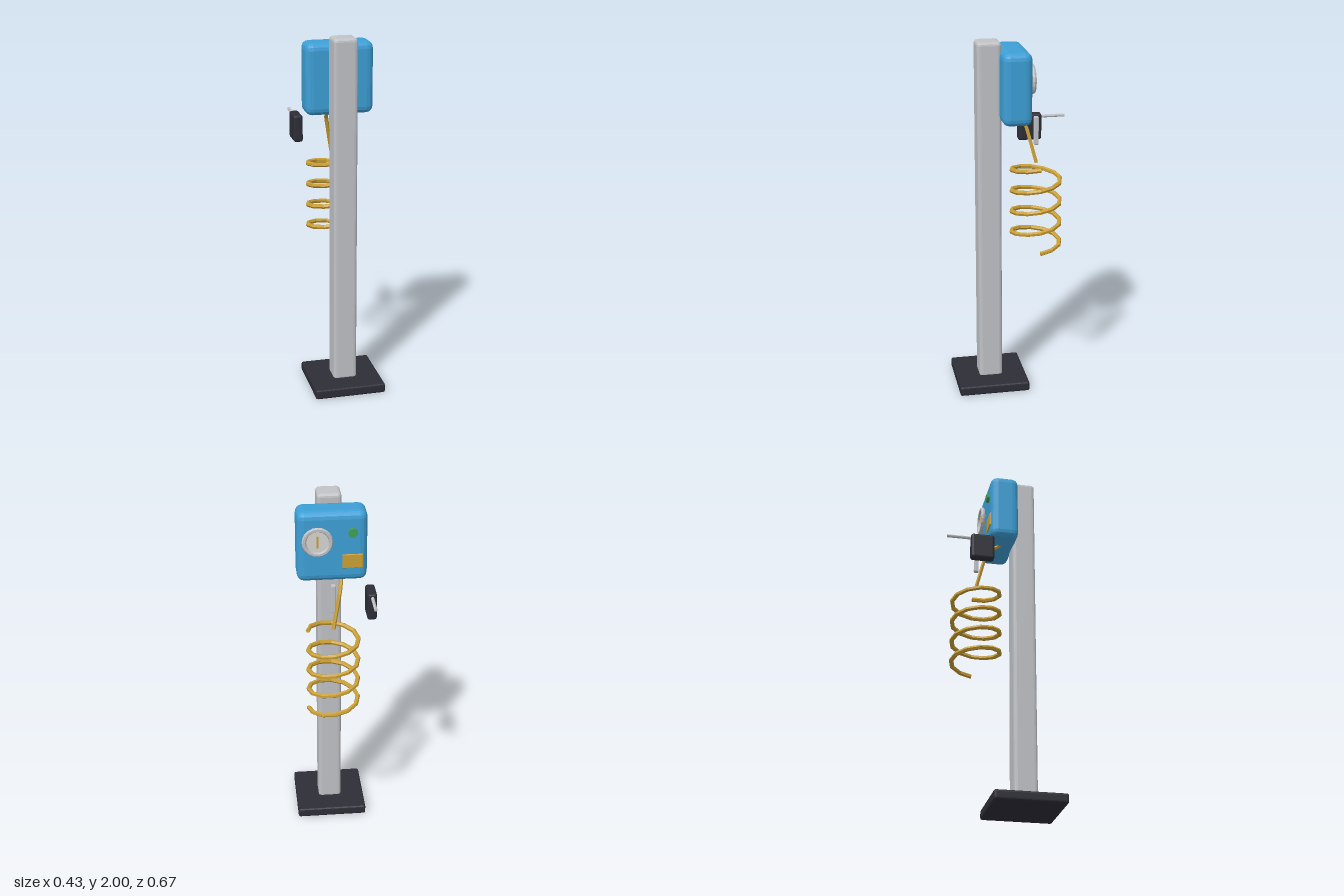
import * as THREE from 'three';
import { RoundedBoxGeometry } from 'three/addons/geometries/RoundedBoxGeometry.js';

const material = (name, color) => {
  const m = new THREE.MeshStandardMaterial({ color });
  m.name = name;
  return m;
};

// Faceted normals for a low-poly look
function faceted(geometry) {
  const g = geometry.index ? geometry.toNonIndexed() : geometry;
  g.computeVertexNormals();
  return g;
}

// Rising spiral around a vertical axis
class Helix extends THREE.Curve {
  constructor(centre, radius, height, turns) {
    super();
    Object.assign(this, { centre, radius, height, turns });
  }
  getPoint(t, target = new THREE.Vector3()) {
    const a = t * this.turns * Math.PI * 2;
    return target.set(Math.cos(a) * this.radius, -t * this.height, Math.sin(a) * this.radius).add(this.centre);
  }
}

export function createModel() {
  const group = new THREE.Group();
  const steel = material('steel', 0xc0c2c6);
  const blue = material('blue paint', 0x3d9fd6);
  const black = material('black rubber', 0x2d2d37);
  const gold = material('amber hose', 0xcba036);
  const green = material('green button', 0x3fa056);
  const dial = material('dial face', 0xd6d5d0);

  const add = (name, geometry, mat, x = 0, y = 0, z = 0) => {
    const mesh = new THREE.Mesh(faceted(geometry), mat);
    mesh.name = name;
    mesh.position.set(x, y, z);
    group.add(mesh);
    return mesh;
  };
  const box = (name, mat, size, centre, bevel) =>
    add(name, new RoundedBoxGeometry(...size, 2, bevel), mat, ...centre);
  // Disc or rod lying along z
  const disc = (name, mat, radius, depth, sides, centre) =>
    add(name, new THREE.CylinderGeometry(radius, radius, depth, sides).rotateX(Math.PI / 2), mat, ...centre);

  // Stand
  box('base', black, [0.4, 0.055, 0.4], [0.0125, 0.0275, 0.133], 0.012);
  box('post', steel, [0.133, 1.96, 0.133], [0.0135, 1.02, 0.134], 0.02);

  // Housing with its controls on the back face
  box('housing', blue, [0.376, 0.396, 0.162], [0.012, 1.76, -0.001], 0.04);
  add('gaugeRim', new THREE.TorusGeometry(0.071, 0.012, 6, 20), steel, 0.092, 1.8, -0.094);
  disc('gaugeFace', dial, 0.07, 0.014, 20, [0.092, 1.8, -0.086]);
  add('gaugeNeedle', new THREE.BoxGeometry(0.01, 0.065, 0.005), gold, 0.092, 1.8, -0.095);
  disc('button', green, 0.025, 0.03, 10, [-0.095, 1.845, -0.085]);
  box('panel', gold, [0.11, 0.08, 0.012], [-0.095, 1.68, -0.082], 0.004);

  // Feed hose and loose coil
  const feed = new THREE.CurvePath();
  const bend = new THREE.Vector3(-0.03, 1.515, -0.085);
  feed.add(new THREE.LineCurve3(new THREE.Vector3(-0.045, 1.575, 0.0), bend));
  feed.add(new THREE.LineCurve3(bend, new THREE.Vector3(0.012, 1.305, -0.137)));
  add('feedHose', new THREE.TubeGeometry(feed, 10, 0.011, 6), gold);

  const coil = new Helix(new THREE.Vector3(0.0125, 1.302, -0.135), 0.137, 0.488, 4);
  add('coiledHose', new THREE.TubeGeometry(coil, 48, 0.013, 6), gold);
  // Small plugs closing the coil ends
  [0, 1].forEach((t) => {
    const p = coil.getPoint(t);
    const cap = new THREE.CircleGeometry(0.013, 6);
    const dir = coil.getTangent(t).multiplyScalar(t ? 1 : -1);
    const plug = add('hoseEnd', cap, gold, p.x, p.y, p.z);
    plug.quaternion.setFromUnitVectors(new THREE.Vector3(0, 0, 1), dir);
  });

  // Nozzle and hanging tool
  box('nozzle', steel, [0.026, 0.16, 0.026], [0.0125, 1.49, -0.135], 0.005);
  box('toolGrip', black, [0.052, 0.152, 0.134], [-0.189, 1.46, -0.137], 0.014);
  disc('toolRod', steel, 0.009, 0.15, 8, [-0.189, 1.515, -0.264]);

  return group;
}
